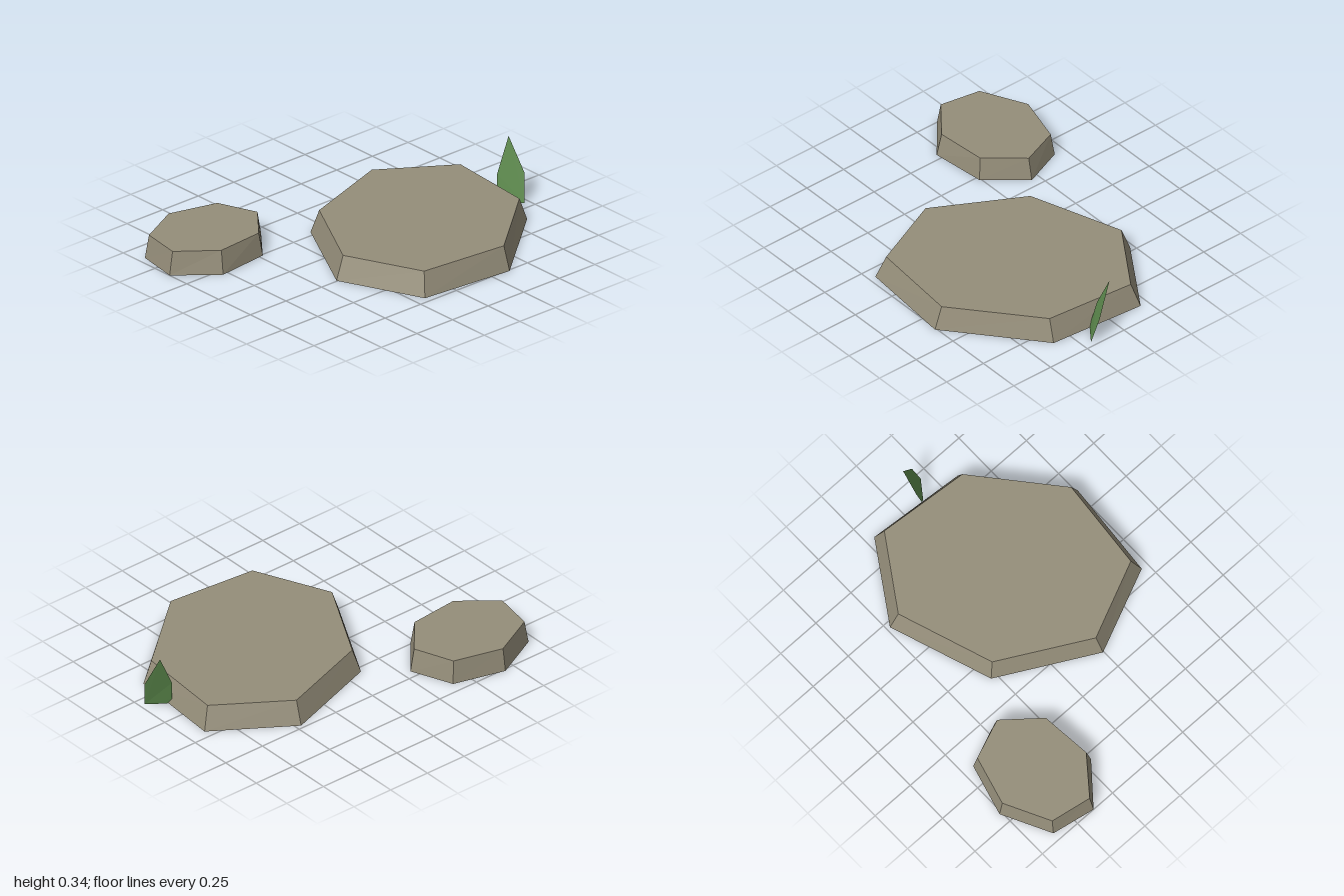
import * as THREE from 'three';

const stone = new THREE.MeshStandardMaterial({ color: 0x958e7a });
stone.name = 'stone';
stone.flatShading = true;
const leafGreen = new THREE.MeshStandardMaterial({ color: 0x5e8c4e, side: THREE.DoubleSide });
leafGreen.name = 'leafGreen';
leafGreen.flatShading = true;

function meshFrom(name, vertices, indices, material) {
  const geometry = new THREE.BufferGeometry();
  geometry.setAttribute('position', new THREE.Float32BufferAttribute(vertices.flat(), 3));
  geometry.setIndex(indices);
  const flat = geometry.toNonIndexed();
  flat.computeVertexNormals();
  const mesh = new THREE.Mesh(flat, material);
  mesh.name = name;
  return mesh;
}

// Flat slab with bevelled sides; outlines are [x, z] pairs, clockwise from above
function slab(name, bottom, top, height) {
  const n = bottom.length;
  const vertices = [
    ...bottom.map(([x, z]) => [x, 0, z]),
    ...top.map(([x, z]) => [x, height, z]),
  ];
  const indices = [];
  for (let i = 0; i < n; i++) {
    const j = (i + 1) % n;
    indices.push(j, i, n + i, j, n + i, n + j);
    if (i > 0 && i < n - 1) {
      indices.push(0, i, i + 1); // underside
      indices.push(n, n + i + 1, n + i); // top
    }
  }
  return meshFrom(name, vertices, indices, stone);
}

export function createModel() {
  const group = new THREE.Group();
  group.name = 'steppingStones';

  group.add(slab('largeStone',
    [[0.47, -0.48], [0.895, -0.2], [0.85, 0.355], [0.365, 0.76], [-0.185, 0.71], [-0.39, 0.245], [-0.1, -0.285]],
    [[0.46, -0.43], [0.85, -0.17], [0.805, 0.345], [0.365, 0.715], [-0.15, 0.665], [-0.34, 0.24], [-0.07, -0.25]],
    0.13));

  group.add(slab('smallStone',
    [[-0.685, -0.765], [-0.395, -0.685], [-0.3, -0.45], [-0.475, -0.24], [-0.785, -0.205], [-1, -0.385], [-0.955, -0.63]],
    [[-0.685, -0.745], [-0.41, -0.67], [-0.325, -0.45], [-0.49, -0.255], [-0.775, -0.23], [-0.975, -0.39], [-0.935, -0.62]],
    0.13));

  // Single leaning blade of grass, anticlockwise seen from the front
  group.add(meshFrom('grassBlade',
    [[0.97, 0, 0.2], [1, 0.155, 0.165], [0.97, 0.345, 0.075], [0.88, 0.155, 0.085], [0.86, 0.035, 0.107], [0.875, 0, 0.13]],
    [0, 1, 2, 0, 2, 3, 0, 3, 4, 0, 4, 5], leafGreen));

  return group;
}
